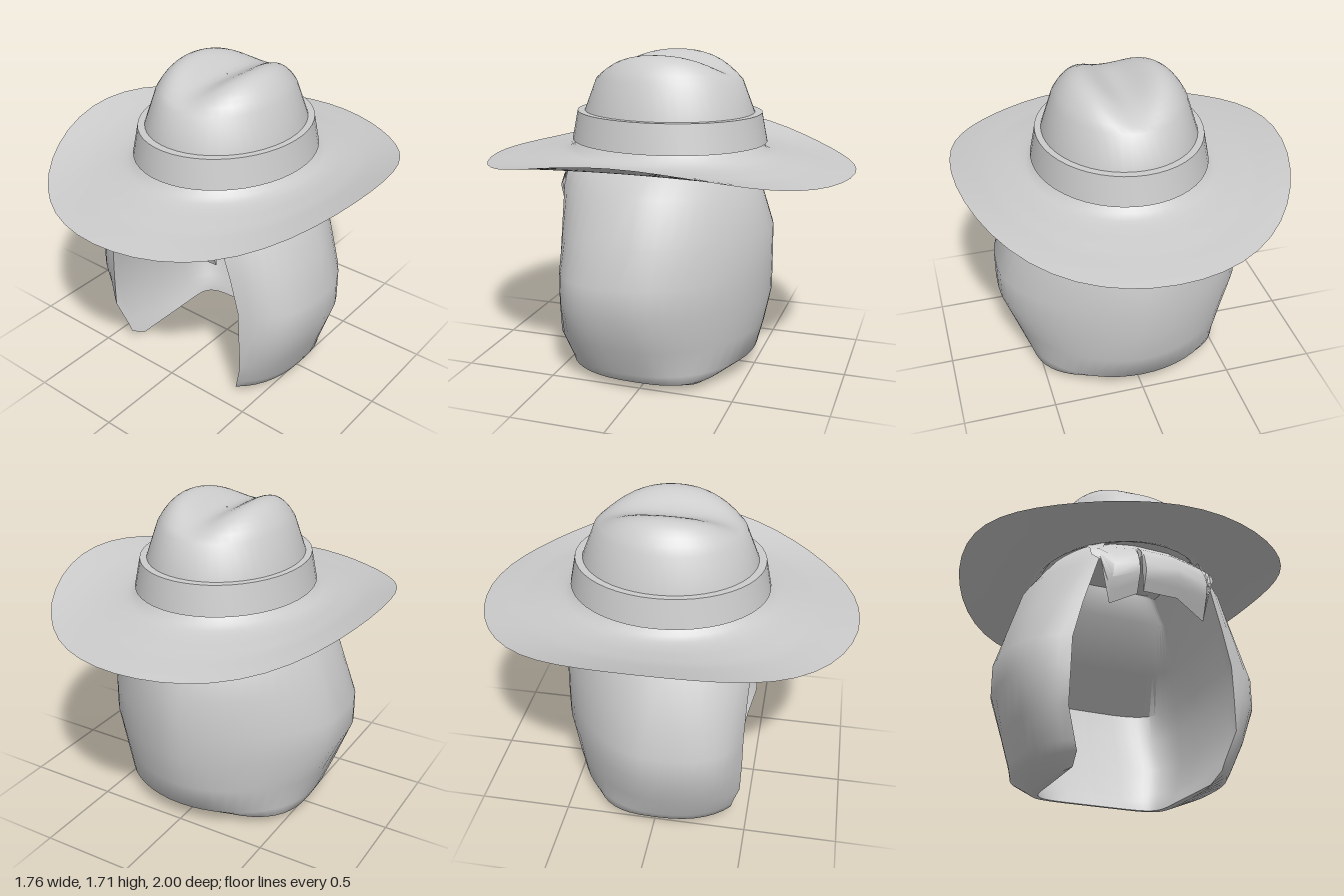
import * as THREE from 'three';
import { toCreasedNormals } from 'three/addons/utils/BufferGeometryUtils.js';

const material = new THREE.MeshStandardMaterial({ color: 0xcccccc, side: THREE.DoubleSide });

// Grid surface: fn(i, j) returns [x, y, z] for column i and row j
function surface(name, cols, rows, fn, crease = 0.7) {
  const pos = [], index = [];
  for (let j = 0; j <= rows; j++) for (let i = 0; i <= cols; i++) pos.push(...fn(i, j));
  const w = cols + 1;
  for (let j = 0; j < rows; j++) for (let i = 0; i < cols; i++) {
    const a = j * w + i, b = a + 1, c = a + w, d = c + 1;
    index.push(a, c, b, b, c, d);
  }
  const g = new THREE.BufferGeometry();
  g.setAttribute('position', new THREE.Float32BufferAttribute(pos, 3));
  g.setIndex(index);
  const mesh = new THREE.Mesh(toCreasedNormals(g, crease), material);
  mesh.name = name;
  return mesh;
}

// Stack of ellipses, each [radius x, y, radius z]
function ellipseStack(name, rings, cols = 48) {
  return surface(name, cols, rings.length - 1, (i, j) => {
    const a = (i % cols) / cols * Math.PI * 2, [rx, y, rz] = rings[j];
    return [rx * Math.sin(a), y, rz * Math.cos(a)];
  });
}

// Linear lookup in a list of [key, value] pairs
function lookup(list, k) {
  for (let i = 1; i < list.length; i++) {
    const [k0, v0] = list[i - 1], [k1, v1] = list[i];
    if (k <= k1) return v0 + (v1 - v0) * Math.max(0, (k - k0) / (k1 - k0));
  }
  return list[list.length - 1][1];
}

// Hair levels: y, side x, opening edge x, opening edge z, back z,
// inner x, inner back z, front squareness, back squareness
const levels = [
  [0.00, 0.40, 0.37, 0.32, -0.30, 0.365, -0.28, 2.8, 6],
  [0.05, 0.54, 0.385, 0.41, -0.40, 0.39, -0.30, 2.5, 2.8],
  [0.10, 0.565, 0.40, 0.42, -0.50, 0.41, -0.32, 2.6, 2.0],
  [0.25, 0.62, 0.45, 0.46, -0.54, 0.45, -0.36, 3, 1.8],
  [0.44, 0.69, 0.445, 0.465, -0.58, 0.45, -0.42, 3.4, 1.65],
  [0.60, 0.69, 0.44, 0.465, -0.58, 0.45, -0.45, 3.4, 1.65],
  [0.80, 0.625, 0.39, 0.47, -0.58, 0.39, -0.27, 2.8, 1.65],
  [1.03, 0.55, 0.32, 0.48, -0.50, 0.31, -0.06, 2.3, 1.8],
  [1.17, 0.45, 0.27, 0.46, -0.38, 0.24, -0.02, 2.1, 2],
  [1.22, 0.32, 0.12, 0.35, -0.28, 0.10, -0.02, 2, 2],
];

// Outer wall, t from -1 (one opening edge) through 0 (back) to 1
function outerPoint([y, xs, xe, ze, zb, , , nf, nb], t) {
  const a0 = Math.asin((xe / xs) ** (nf / 2));
  const a = Math.PI + (a0 - Math.PI) * Math.abs(t);
  const zf = ze / (1 - (xe / xs) ** nf) ** (1 / nf);
  const c = Math.cos(a), n = c > 0 ? nf : nb;
  const x = Math.sign(t) * xs * Math.abs(Math.sin(a)) ** (2 / n);
  return [x, y, (c > 0 ? zf : zb) * Math.abs(c) ** (2 / n)];
}

// Inner wall, same parameter: straight sides, then a squarish back
function innerPoint([y, , xe, ze, , xi, zbi, , nb], t) {
  const s = Math.abs(t), side = Math.sign(t);
  if (s > 0.6) {
    const k = (s - 0.6) / 0.4;
    return [side * (xi + (xe - xi) * k), y, ze * k];
  }
  const a = s / 0.6 * Math.PI / 2, p = 2 / Math.max(nb, 4);
  return [side * xi * Math.sin(a) ** p, y, zbi * Math.abs(Math.cos(a)) ** p];
}

function buildHair() {
  const hair = new THREE.Group();
  hair.name = 'hair';
  const n = 40, rows = levels.length - 1;
  hair.add(surface('outerHair', n, rows, (i, j) => outerPoint(levels[j], (i / n) * 2 - 1), 1.3));
  hair.add(surface('innerHair', n, rows, (i, j) => innerPoint(levels[j], (i / n) * 2 - 1)));
  // Strip joining the two walls along the bottom
  hair.add(surface('hairRim', n, 1, (i, j) => (j ? innerPoint : outerPoint)(levels[0], (i / n) * 2 - 1)));

  // Fringe: zigzag lower edge as [x, y]
  const edge = [[-0.35, 1.08], [-0.31, 1.04], [-0.25, 0.82], [-0.12, 0.875], [-0.1, 1.11],
    [-0.09, 0.89], [0.1, 0.89], [0.29, 0.83], [0.33, 1.04], [0.36, 1.08]];
  const depth = [[0.82, 0.51], [1.0, 0.58], [1.12, 0.54], [1.2, 0.45]];
  hair.add(surface('fringe', edge.length - 1, 6, (i, j) => {
    const [x, y0] = edge[i], y = 1.2 + (y0 - 1.2) * j / 6;
    return [x, y, lookup(depth, y) - 0.07 * (x / 0.31) ** 2];
  }));

  // Scalp closing the inside under the hat
  hair.add(ellipseStack('scalp', [[0.43, 1.22, 0.49], [0.36, 1.18, 0.4], [0.01, 1.19, 0.01]]));
  return hair;
}

function buildHat() {
  const hat = new THREE.Group();
  hat.name = 'hat';
  const cols = 48, rows = 14;
  const angle = (i) => (i % cols) / cols * Math.PI * 2;

  // Brim, curling up at the sides and dipping front and back
  const rise = [[0, 1.245], [0.07, 1.205], [0.15, 1.187], [0.3, 1.178], [0.6, 1.175], [1, 1.19]];
  const brim = (name, drop) => surface(name, cols, rows, (i, j) => {
    const a = angle(i), k = j / rows;
    const y = lookup(rise, k) + k ** 1.6 * (0.145 * Math.sin(a) ** 4 - 0.07) - drop * (1 - k);
    return [(0.43 + 0.45 * k) * Math.sin(a), y, (0.49 + 0.51 * k) * Math.cos(a)];
  });
  hat.add(brim('brimTop', 0), brim('brimUnderside', 0.025));

  // Band
  hat.add(ellipseStack('hatBand', [[0.42, 1.245, 0.48], [0.465, 1.245, 0.53],
    [0.435, 1.4, 0.5], [0.39, 1.4, 0.45]]));

  // Crown: tapering wall, then a dome with a lengthwise crease
  const wall = [[0.43, 1.24, 0.49], [0.402, 1.4, 0.46]];
  hat.add(surface('crown', cols, rows + 2, (i, j) => {
    const a = angle(i);
    if (j < 2) return [wall[j][0] * Math.sin(a), wall[j][1], wall[j][2] * Math.cos(a)];
    const r = 1 - 0.995 * (j - 2) / rows;
    const x = 0.345 * r * Math.sin(a), z = 0.395 * r * Math.cos(a);
    const dent = 0.1 * Math.exp(-((x / 0.15) ** 2)) * (1 - r ** 4);
    return [x, 1.58 + 0.16 * (1 - r ** 4) - dent - 0.08 * z * z, z];
  }, 1.3));
  return hat;
}

export function createModel() {
  const model = new THREE.Group();
  model.name = 'hatWithHair';
  model.add(buildHair(), buildHat());
  return model;
}
